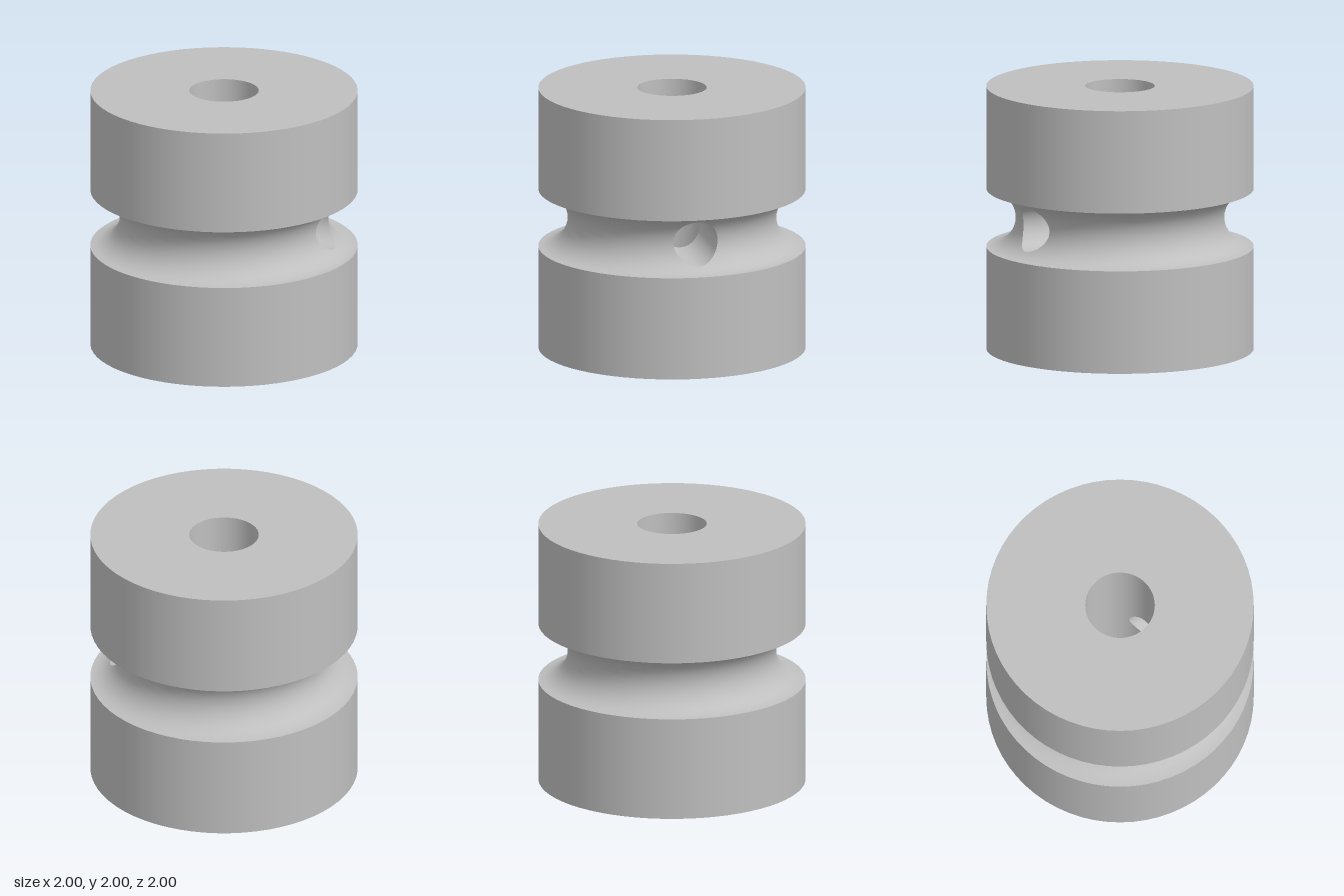
import * as THREE from 'three';

const SEG = 64, SIDE = 16, RINGS = 8;
const R = 1, BORE = 0.26, GROOVE = 0.22, HOLE = 0.17, MID = 1;

// Surfaces as radius, height and normal of a parameter v
const groove = {
  at: (v) => ({ r: R - GROOVE * Math.cos(v), y: MID + GROOVE * Math.sin(v), nr: Math.cos(v), ny: -Math.sin(v) }),
  vOf: (dy) => Math.asin(dy / GROOVE),
  vMax: Math.PI / 2,
};
const bore = {
  at: (v) => ({ r: BORE, y: MID + v, nr: -1, ny: 0 }),
  vOf: (dy) => dy,
  vMax: GROOVE,
};

// Point of the side hole's rim on a surface, as angle u and parameter v
function rim(surface, a) {
  const v = surface.vOf(HOLE * Math.sin(a));
  return [Math.asin((HOLE * Math.cos(a)) / surface.at(v).r), v];
}
const rimAngle = (k) => -Math.PI / 4 + (k / SEG) * Math.PI * 2;

// Grid of (rows + 1) x (SEG + 1) points with given normals
function grid(rows, pointAt, flip) {
  const pos = [], nor = [], index = [];
  for (let j = 0; j <= rows; j++) {
    for (let k = 0; k <= SEG; k++) {
      const { p, n } = pointAt(j / rows, k);
      pos.push(...p);
      nor.push(...n);
      if (j === rows || k === SEG) continue;
      const a = j * (SEG + 1) + k, b = a + SEG + 1;
      if (flip) index.push(a, b + 1, b, a, a + 1, b + 1);
      else index.push(a, b, b + 1, a, b + 1, a + 1);
    }
  }
  const g = new THREE.BufferGeometry();
  g.setAttribute('position', new THREE.Float32BufferAttribute(pos, 3));
  g.setAttribute('normal', new THREE.Float32BufferAttribute(nor, 3));
  g.setIndex(index);
  return g;
}

// Quarter-turn patch facing +x with the side hole left open
function holedPatch(surface, flip) {
  return grid(RINGS, (t, k) => {
    const f = ((k % SIDE) / SIDE) * 2 - 1;
    const [bu, bv] = [[1, f], [-f, 1], [-1, -f], [f, -1]][Math.floor(k / SIDE) % 4];
    const [hu, hv] = rim(surface, rimAngle(k));
    const u = Math.PI / 2 + THREE.MathUtils.lerp(hu, (bu * Math.PI) / 4, t);
    const { r, y, nr, ny } = surface.at(THREE.MathUtils.lerp(hv, bv * surface.vMax, t));
    const s = Math.sin(u), c = Math.cos(u);
    return { p: [r * s, y, r * c], n: [nr * s, ny, nr * c] };
  }, flip);
}

// Wall of the side hole, from the bore out to the groove
function holeWall() {
  return grid(1, (t, k) => {
    const a = rimAngle(k);
    const surface = t ? groove : bore;
    const [u, v] = rim(surface, a);
    return {
      p: [surface.at(v).r * Math.cos(u), MID + HOLE * Math.sin(a), -HOLE * Math.cos(a)],
      n: [0, -Math.sin(a), Math.cos(a)],
    };
  }, false);
}

export function createModel() {
  const group = new THREE.Group();
  const grey = new THREE.MeshStandardMaterial({ color: 0xbfbfbf });
  grey.name = 'grey';

  const add = (name, geometry) => {
    const mesh = new THREE.Mesh(geometry, grey);
    mesh.name = name;
    group.add(mesh);
  };
  const turn = (name, points, open = false) => {
    const pts = points.map(([x, y]) => new THREE.Vector2(x, y));
    add(name, open
      ? new THREE.LatheGeometry(pts, SEG * 0.75, Math.PI * 0.75, Math.PI * 1.5)
      : new THREE.LatheGeometry(pts, SEG));
  };

  // Both drums: outer wall, end face and bore wall
  const low = MID - GROOVE, high = MID + GROOVE;
  turn('lowerDrumWall', [[R, 0], [R, low]]);
  turn('upperDrumWall', [[R, high], [R, 2]]);
  turn('bottomFace', [[BORE, 0], [R, 0]]);
  turn('topFace', [[R, 2], [BORE, 2]]);
  turn('lowerBore', [[BORE, low], [BORE, 0]]);
  turn('upperBore', [[BORE, 2], [BORE, high]]);

  // Round groove and middle of the bore, open towards +x
  const arc = [];
  for (let i = 0; i <= SIDE; i++) {
    const { r, y } = groove.at((i / SIDE - 0.5) * Math.PI);
    arc.push([r, y]);
  }
  turn('groove', arc, true);
  turn('middleBore', [[BORE, high], [BORE, low]], true);

  // Side hole and the patches around it
  add('groovePatch', holedPatch(groove, false));
  add('borePatch', holedPatch(bore, true));
  add('sideHole', holeWall());

  return group;
}
